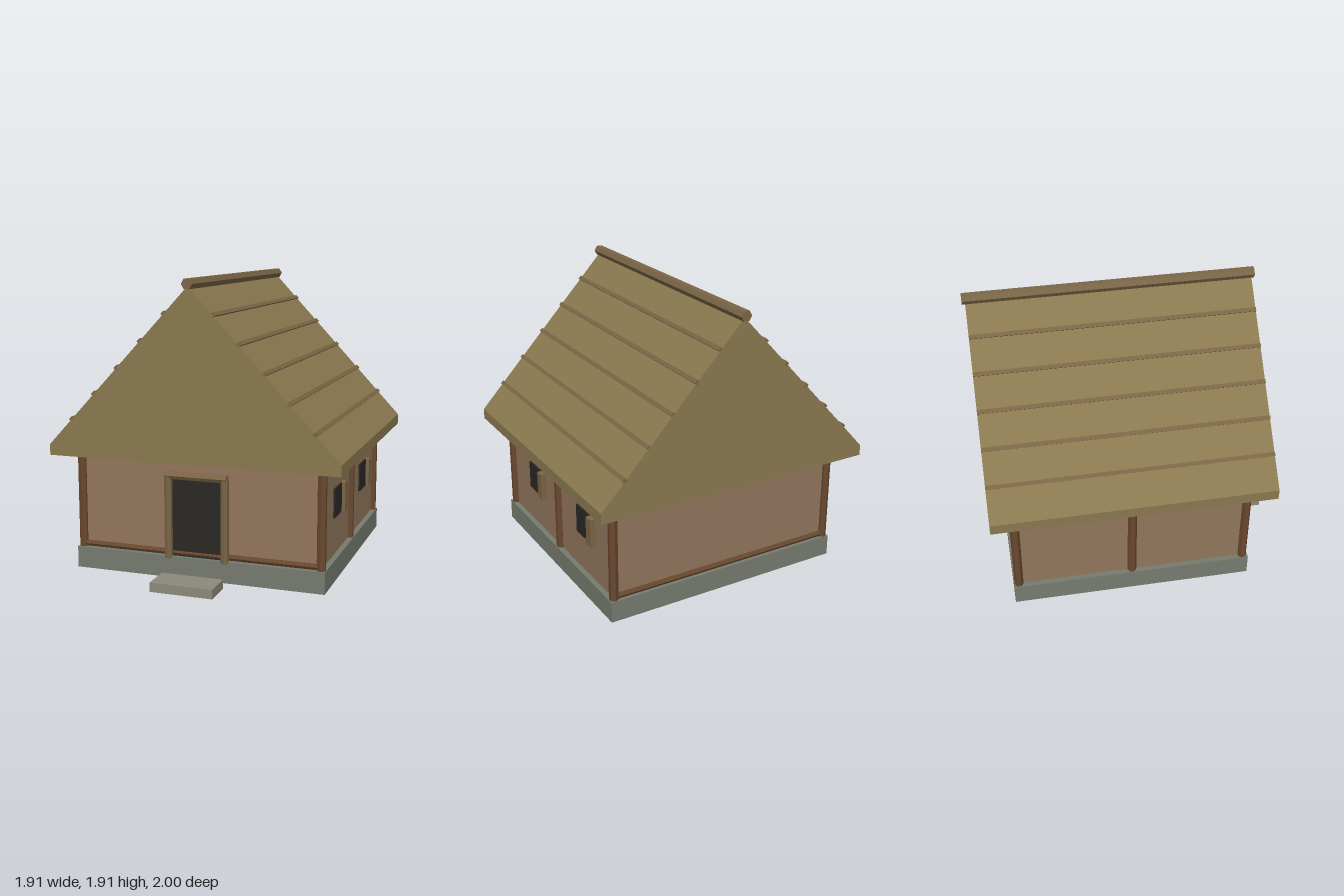
import * as THREE from 'three';

const mat = (color) => new THREE.MeshStandardMaterial({ color, flatShading: true });
const roofMat = mat(0x8b7950);
const wallMat = mat(0x92765d);
const postMat = mat(0x69482f);
const frameMat = mat(0x7b6646);
const darkMat = mat(0x2a2825);
const plinthMat = mat(0x767b6f);
const stepMat = mat(0x8c897b);

const FRONT = 0.692, BACK = -0.826, MID = -0.067, SIDE = 0.803;

export function createModel() {
  const model = new THREE.Group();
  model.name = 'cottage';

  const add = (name, geometry, material, x = 0, y = 0, z = 0) => {
    const mesh = new THREE.Mesh(geometry, material);
    mesh.name = name;
    mesh.position.set(x, y, z);
    model.add(mesh);
    return mesh;
  };
  // box given by its min and max along each axis
  const box = (name, material, [x0, x1], [y0, y1], [z0, z1]) =>
    add(name, new THREE.BoxGeometry(x1 - x0, y1 - y0, z1 - z0), material,
      (x0 + x1) / 2, (y0 + y1) / 2, (z0 + z1) / 2);
  // six-sided pole along y
  const pole = (r, length, start = 0) =>
    new THREE.CylinderGeometry(r, r, length, 6, 1, false, start);

  // stone base and doorstep
  box('foundation', plinthMat, [-0.835, 0.835], [0.01, 0.15], [-0.858, 0.728]);
  box('doorstep', stepMat, [-0.205, 0.205], [0, 0.06], [0.8, 1]);

  // walls
  box('walls', wallMat, [-0.8, 0.8], [0.15, 0.79], [BACK, FRONT]);

  // upright posts at the corners and the middle of each side
  for (const x of [-SIDE, SIDE]) {
    for (const z of [FRONT, MID, BACK]) {
      add('wallPost', pole(0.03, 0.65), postMat, x, 0.465, z);
    }
  }

  // sill and top beams on the front and back walls
  for (const z of [FRONT, BACK]) {
    for (const y of [0.171, 0.775]) {
      add('wallBeam', pole(0.021, 2 * SIDE).rotateZ(Math.PI / 2), postMat, 0, y, z);
    }
  }

  // door with its frame
  box('door', darkMat, [-0.175, 0.175], [0.15, 0.67], [0.68, 0.706]);
  for (const x of [-0.189, 0.189]) {
    add('doorPost', pole(0.026, 0.54), frameMat, x, 0.41, 0.725);
  }
  add('doorLintel', pole(0.026, 0.41).rotateZ(Math.PI / 2), frameMat, 0, 0.68, 0.725);

  // windows with open shutters, on the left wall only
  for (const z of [0.302, -0.434]) {
    box('window', darkMat, [0.78, 0.812], [0.4, 0.592], [z - 0.092, z + 0.092]);
    box('shutter', frameMat, [0.79, 0.835], [0.4, 0.592], [z - 0.155, z - 0.091]);
  }

  // solid thatched roof
  const eaveX = 0.953, eaveY = 0.85, apexY = 1.87, roofFront = 0.847, roofBack = -0.979;
  const roofLength = roofFront - roofBack, roofZ = (roofFront + roofBack) / 2;
  const gable = new THREE.Shape([
    new THREE.Vector2(-eaveX, 0.78), new THREE.Vector2(eaveX, 0.78),
    new THREE.Vector2(eaveX, eaveY), new THREE.Vector2(0, apexY),
    new THREE.Vector2(-eaveX, eaveY),
  ]);
  add('roof', new THREE.ExtrudeGeometry(gable, { depth: roofLength, bevelEnabled: false }),
    roofMat, 0, 0, roofBack);

  // battens across both slopes
  const slope = Math.atan2(apexY - eaveY, eaveX);
  for (const side of [-1, 1]) {
    for (let i = 1; i <= 5; i++) {
      const t = i / 6;
      const batten = add('roofBatten', new THREE.BoxGeometry(0.026, 0.026, roofLength), frameMat,
        side * eaveX * (1 - t), eaveY + (apexY - eaveY) * t, roofZ);
      batten.rotation.z = -side * slope;
    }
  }

  // ridge pole
  add('ridgePole', pole(0.036, 1.862, Math.PI / 6).rotateX(Math.PI / 2), frameMat, 0, 1.883, -0.069);

  return model;
}
